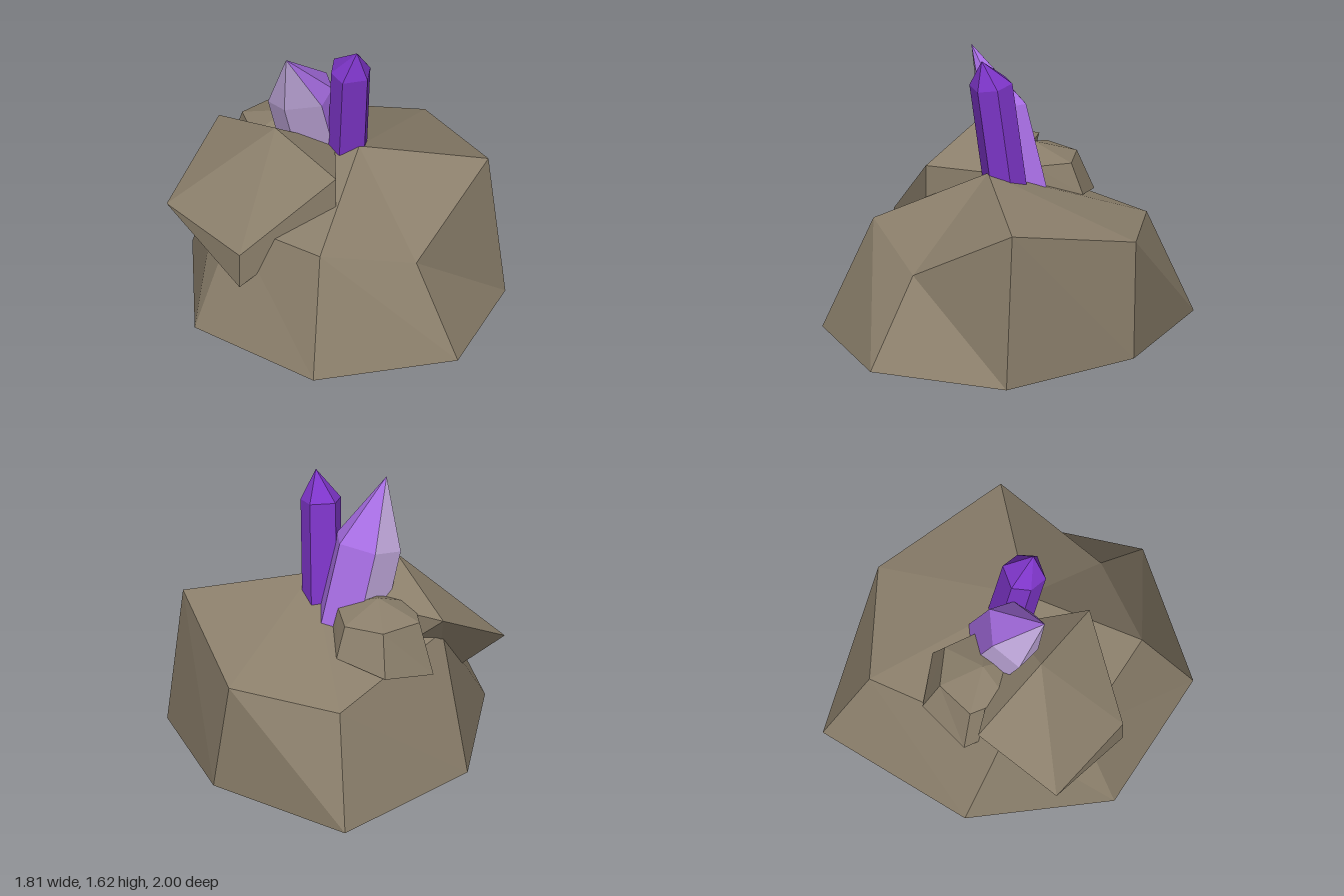
import * as THREE from 'three';
import { ConvexGeometry } from 'three/addons/geometries/ConvexGeometry.js';

const material = (name, color) => {
  const m = new THREE.MeshStandardMaterial({ color, flatShading: true });
  m.name = name;
  return m;
};

// Faceted solid from rings listed bottom to top (clockwise from above),
// closed by a point at each end; sides picks which facets are made
function loft(rings, bottom, top, sides = rings[0].map((_, i) => i)) {
  const pos = [];
  const tri = (...pts) => pts.forEach((p) => pos.push(...p));
  const n = rings[0].length;
  for (const i of sides) {
    const j = (i + 1) % n;
    tri(rings[0][i], rings[0][j], bottom);
    for (let r = 0; r < rings.length - 1; r++) {
      const lo = rings[r], up = rings[r + 1];
      tri(lo[i], up[i], up[j]);
      tri(lo[i], up[j], lo[j]);
    }
    const last = rings[rings.length - 1];
    tri(last[i], top, last[j]);
  }
  const geo = new THREE.BufferGeometry();
  geo.setAttribute('position', new THREE.Float32BufferAttribute(pos, 3));
  geo.computeVertexNormals();
  return geo;
}

const shifted = (ring, dx, dy, dz) => ring.map(([x, y, z]) => [x + dx, y + dy, z + dz]);

export function createModel() {
  const model = new THREE.Group();
  model.name = 'crystalRock';
  const stone = material('stone', 0x8b7f6b);
  const purple = material('deepPurple', 0x7d35c8);
  const violet = material('violet', 0xa56ce0);
  const pale = material('paleLilac', 0xbda5d8);

  const add = (name, geo, mat, parent = model) => {
    const mesh = new THREE.Mesh(geo, mat);
    mesh.name = name;
    parent.add(mesh);
  };

  // Seven-sided main boulder
  const foot = [
    [0.07, 0.04, -1], [0.73, 0.04, -0.43], [0.9, 0, 0.36], [0.48, 0.04, 1],
    [-0.33, 0.04, 1], [-0.84, 0.04, 0.36], [-0.66, 0.04, -0.44],
  ];
  const shoulder = [
    [0.07, 0.64, -0.73], [0.65, 0.68, -0.47], [0.82, 0.85, 0.3], [0.32, 0.51, 0.7],
    [-0.23, 0.67, 0.74], [-0.6, 0.63, 0.26], [-0.55, 0.78, -0.17],
  ];
  add('mainBoulder', loft([foot, shoulder], [0, 0.03, 0], [0.12, 0.98, 0.2]), stone);

  // Angular chunk leaning out of the side
  const chunk = [
    [-0.33, 1.12, 0.12], [-0.91, 0.63, 0], [-0.62, 0.57, 0.49], [-0.08, 0.99, 0.49],
    [-0.54, 0.94, -0.32], [0.02, 0.92, 0.05], [-0.62, 0.36, 0.49], [-0.08, 0.76, 0.49],
    [-0.55, 0.31, 0.1], [-0.25, 0.6, -0.1],
  ];
  add('sideChunk', new ConvexGeometry(chunk.map((p) => new THREE.Vector3(...p))), stone);

  // Small domed stone behind the crystals
  const rim = [
    [-0.2, 0.71, -0.52], [0.05, 0.77, -0.37], [0.07, 0.78, -0.1],
    [-0.2, 0.74, 0.06], [-0.46, 0.66, -0.1], [-0.48, 0.64, -0.38],
  ];
  const crown = [
    [-0.2, 0.94, -0.42], [0, 0.94, -0.32], [0.02, 0.95, -0.1],
    [-0.2, 0.95, 0], [-0.4, 0.94, -0.1], [-0.41, 0.94, -0.32],
  ];
  add('smallStone', loft([rim, crown], [-0.2, 0.58, -0.2], [-0.2, 1.02, -0.17]), stone);

  // Tall six-sided crystal, tilted slightly forward
  const tallTop = [
    [-0.03, 1.47, 0.17], [0.01, 1.49, 0.07], [0.15, 1.49, 0.07],
    [0.19, 1.47, 0.17], [0.15, 1.46, 0.27], [0.01, 1.46, 0.27],
  ];
  add('tallCrystal',
    loft([shifted(tallTop, 0, -0.65, -0.09), tallTop], [0.08, 0.8, 0.08], [0.1, 1.62, 0.23]), purple);

  // Broad leaning crystal with pale and violet facets
  const broadTop = [
    [-0.34, 1.21, -0.01], [-0.19, 1.26, -0.11], [0, 1.31, -0.06],
    [0, 1.3, 0.08], [-0.08, 1.25, 0.16], [-0.28, 1.23, 0.12],
  ];
  const broadRings = [shifted(broadTop, 0.11, -0.45, -0.08), broadTop];
  const broad = new THREE.Group();
  broad.name = 'broadCrystal';
  model.add(broad);
  const ends = [[-0.04, 0.81, -0.05], [-0.28, 1.59, 0.16]];
  add('paleFacets', loft(broadRings, ...ends, [0, 4, 5]), pale, broad);
  add('violetFacets', loft(broadRings, ...ends, [1, 2, 3]), violet, broad);

  return model;
}
